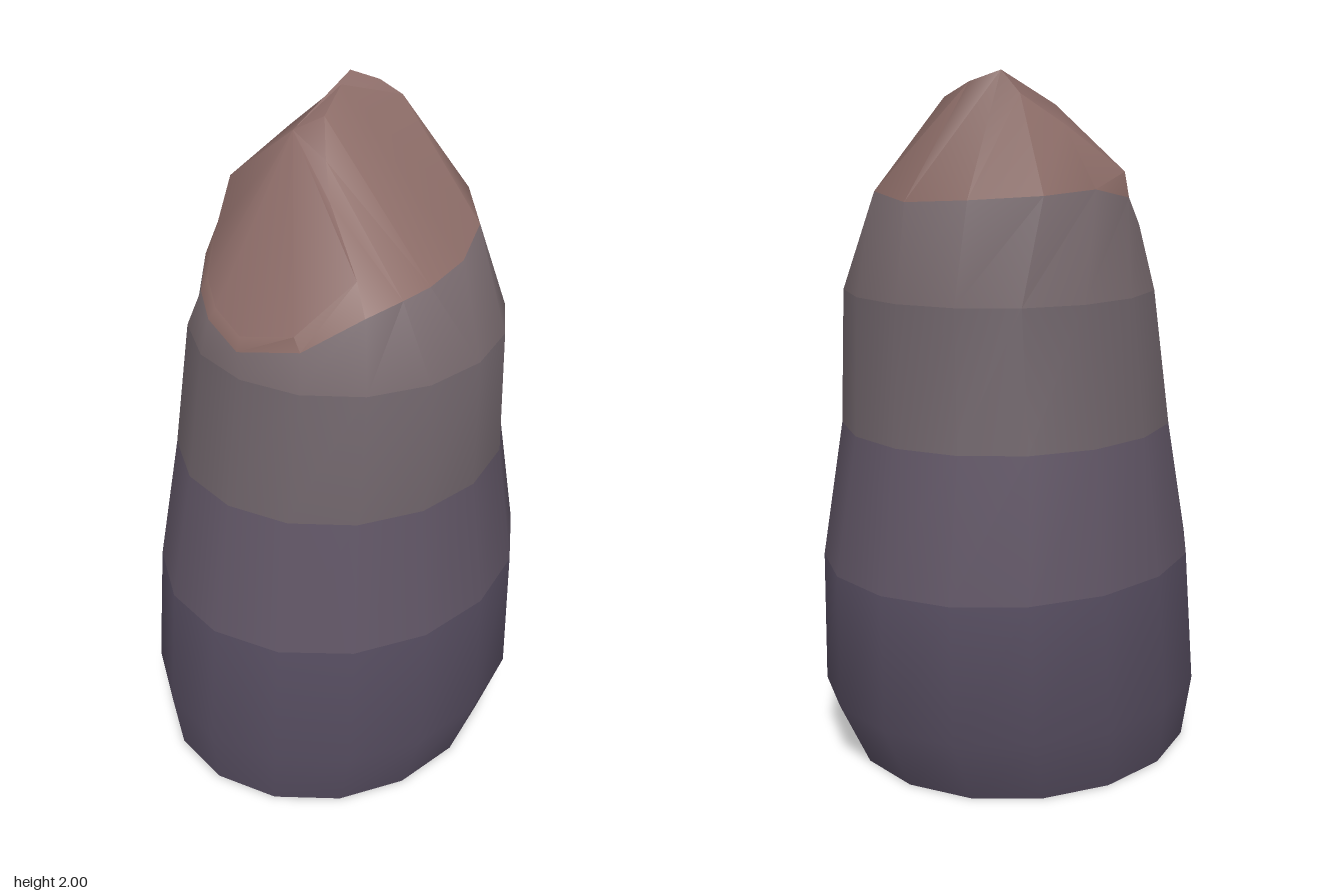
import * as THREE from 'three';
import { toCreasedNormals } from 'three/addons/utils/BufferGeometryUtils.js';

const SIDES = 16;

// Body cross-sections: [y, minX, maxX, minZ, maxZ]
const SECTIONS = [
  [0, -0.58, 0.51, -0.51, 0.49],
  [0.2, -0.61, 0.605, -0.55, 0.55],
  [0.6, -0.575, 0.605, -0.53, 0.535],
  [1.0, -0.49, 0.53, -0.475, 0.48],
  [1.39, -0.44, 0.5, -0.43, 0.47],
];

// Uneven shoulder where the broken top begins, from +x round by the front
const SHOULDER = [
  [0.48, 1.66, 0], [0.43, 1.68, 0.15], [0.31, 1.64, 0.27], [0.14, 1.61, 0.33],
  [-0.03, 1.6, 0.34], [-0.14, 1.6, 0.33], [-0.25, 1.58, 0.29], [-0.38, 1.5, 0.18],
  [-0.425, 1.46, 0], [-0.39, 1.5, -0.13], [-0.32, 1.53, -0.22], [-0.2, 1.57, -0.31],
  [-0.02, 1.66, -0.385], [0.14, 1.69, -0.38], [0.31, 1.68, -0.33], [0.44, 1.67, -0.18],
];

// Crest: ridge over the front, peak at the back left, low lip on the right
const CREST = [
  [0.34, 1.97, -0.11], [0.37, 1.93, -0.05], [0.2, 1.985, -0.14], [0.05, 1.95, -0.08],
  [-0.02, 1.86, -0.02], [-0.09, 1.78, 0.05], [-0.22, 1.66, 0.24], [-0.38, 1.54, 0.16],
  [-0.41, 1.5, 0], [-0.37, 1.53, -0.12], [-0.31, 1.57, -0.2], [-0.18, 1.63, -0.29],
  [-0.02, 1.73, -0.37], [0.13, 1.86, -0.27], [0.25, 1.94, -0.21], [0.28, 2, -0.17],
];

function sectionRing([y, x0, x1, z0, z1]) {
  return Array.from({ length: SIDES }, (_, i) => {
    const a = (i / SIDES) * Math.PI * 2;
    return [(x0 + x1) / 2 + Math.cos(a) * (x1 - x0) / 2, y,
      (z0 + z1) / 2 + Math.sin(a) * (z1 - z0) / 2];
  });
}

export function createModel() {
  const group = new THREE.Group();
  group.name = 'rockPillar';

  const rings = [...SECTIONS.map(sectionRing), SHOULDER, CREST];
  const points = [];
  const bands = [];
  const startBand = (name, color) => bands.push({ name, color, start: points.length / 3 });
  const tri = (...corners) => corners.forEach((p) => points.push(...p));
  const wall = (r) => {
    for (let i = 0; i < SIDES; i++) {
      const j = (i + 1) % SIDES;
      const [a, b, c, d] = [rings[r][i], rings[r][j], rings[r + 1][i], rings[r + 1][j]];
      tri(a, c, b);
      tri(b, c, d);
    }
  };

  // Flat underside and the dark foot
  startBand('foot', 0x564d60);
  for (let i = 0; i < SIDES; i++) tri([0, 0, 0], rings[0][i], rings[0][(i + 1) % SIDES]);
  wall(0);
  wall(1);
  // Tapering trunk
  startBand('lowerTrunk', 0x625767);
  wall(2);
  startBand('upperTrunk', 0x6d6268);
  wall(3);
  startBand('shoulder', 0x786a6e);
  wall(4);
  // Slanting broken top
  startBand('crest', 0x8d6d68);
  wall(5);
  startBand('brokenTop', 0x8a6a66);
  for (let i = 0; i < SIDES; i++) tri([0, 1.91, -0.15], CREST[(i + 1) % SIDES], CREST[i]);

  // Normals are shared over the whole rock, so the bands blend smoothly
  const whole = new THREE.BufferGeometry();
  whole.setAttribute('position', new THREE.Float32BufferAttribute(points, 3));
  const rock = toCreasedNormals(whole, 0.65);

  bands.forEach(({ name, color, start }, k) => {
    const end = k + 1 < bands.length ? bands[k + 1].start : points.length / 3;
    const geometry = new THREE.BufferGeometry();
    for (const key of ['position', 'normal']) {
      const part = rock.getAttribute(key).array.slice(start * 3, end * 3);
      geometry.setAttribute(key, new THREE.BufferAttribute(part, 3));
    }
    const mesh = new THREE.Mesh(geometry, new THREE.MeshStandardMaterial({ color }));
    mesh.name = name;
    group.add(mesh);
  });
  return group;
}
